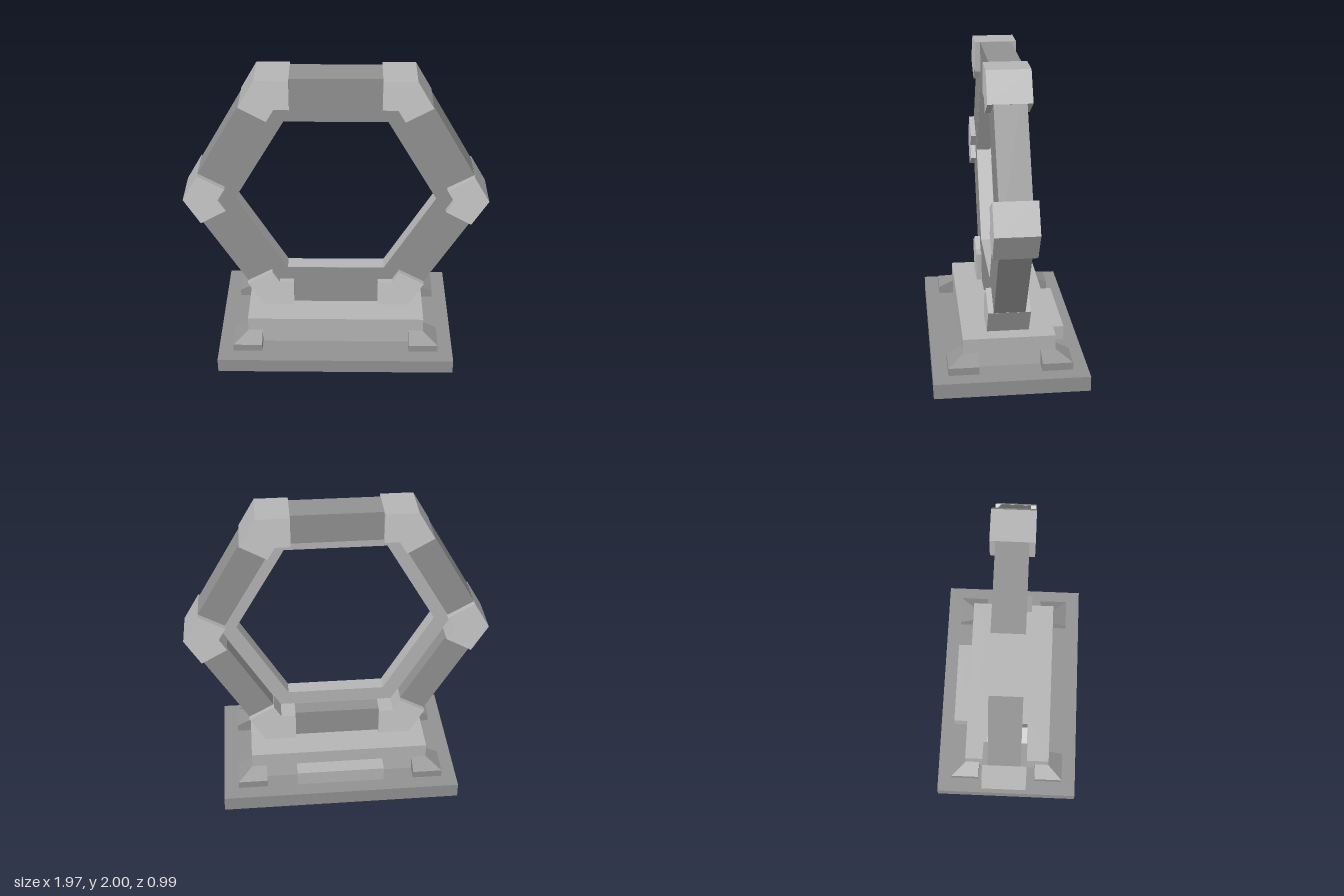
import * as THREE from 'three';

const CENTRE_Y = 1.147;
const COS30 = Math.cos(Math.PI / 6);

export function createModel() {
  const model = new THREE.Group();
  model.name = 'hexagonalGate';
  const paint = (color) => new THREE.MeshStandardMaterial({ color, flatShading: true });
  const dark = paint(0x929292);
  const mid = paint(0xb5b5b5);
  const light = paint(0xcccccc);

  const add = (name, geometry, material, parent = model) => {
    const mesh = new THREE.Mesh(geometry, material);
    mesh.name = name;
    parent.add(mesh);
    return mesh;
  };
  const box = (name, material, w, h, d, x, y, z) =>
    add(name, new THREE.BoxGeometry(w, h, d).translate(x, y, z), material);

  // Hexagon corners for a given centre-to-side distance
  const hexagon = (apothem) => Array.from({ length: 6 }, (_, i) => {
    const a = i * Math.PI / 3, r = apothem / COS30;
    return new THREE.Vector2(r * Math.cos(a), r * Math.sin(a));
  });
  const hexRing = (outer, inner) => {
    const shape = new THREE.Shape(hexagon(outer));
    shape.holes.push(new THREE.Path(hexagon(inner).reverse()));
    return shape;
  };
  const extrude = (shape, z0, z1) =>
    new THREE.ExtrudeGeometry(shape, { depth: z1 - z0, bevelEnabled: false }).translate(0, 0, z0);

  // Dark frame and front face, with a paler recessed lip behind the face
  const ring = new THREE.Group();
  ring.name = 'ring';
  ring.position.y = CENTRE_Y;
  model.add(ring);
  add('frame', extrude(hexRing(0.852, 0.662), -0.1, 0.099), dark, ring);
  add('innerLip', extrude(hexRing(0.664, 0.56), 0, 0.099), mid, ring);
  add('frontFace', new THREE.ShapeGeometry(hexRing(0.852, 0.56)).translate(0, 0, 0.1), dark, ring);

  // Thicker clasp over each corner: pale front and back, darker edges
  const R = 0.853 / COS30, r = 0.658 / COS30, len = 0.208, depth = 0.195;
  const ex = R - len / 2, ey = len * COS30;
  const clasp = extrude(new THREE.Shape([
    new THREE.Vector2(R, 0),
    new THREE.Vector2(ex, ey),
    new THREE.Vector2(ex - depth * COS30, ey - depth / 2),
    new THREE.Vector2(r, 0),
    new THREE.Vector2(ex - depth * COS30, -ey + depth / 2),
    new THREE.Vector2(ex, -ey),
  ]), -0.135, 0.135);
  for (let i = 0; i < 6; i++) {
    add(`cornerClasp${i + 1}`, clasp, [light, mid], ring).rotation.z = i * Math.PI / 3;
  }

  // Base
  box('basePlate', dark, 1.58, 0.1, 0.985, 0, 0.05, 0);
  box('plinth', mid, 1.185, 0.196, 0.59, 0, 0.198, 0);
  box('backStep', mid, 0.585, 0.1, 0.12, 0, 0.15, -0.335);

  // Corner blocks whose outer top edges slope in to the plinth
  for (const sx of [-1, 1]) for (const sz of [-1, 1]) {
    const g = new THREE.BoxGeometry(0.195, 0.1, 0.195, 1, 2, 1)
      .translate(sx * 0.5925, 0.15, sz * 0.2975);
    const p = g.attributes.position;
    for (let i = 0; i < p.count; i++) {
      if (p.getY(i) < 0.19) continue;
      p.setX(i, sx * Math.min(Math.abs(p.getX(i)), 0.5925));
      p.setZ(i, sz * Math.min(Math.abs(p.getZ(i)), 0.295));
    }
    g.computeVertexNormals();
    add(`${sz > 0 ? 'front' : 'back'}${sx > 0 ? 'Left' : 'Right'}CornerBlock`, g, dark);
  }

  return model;
}
